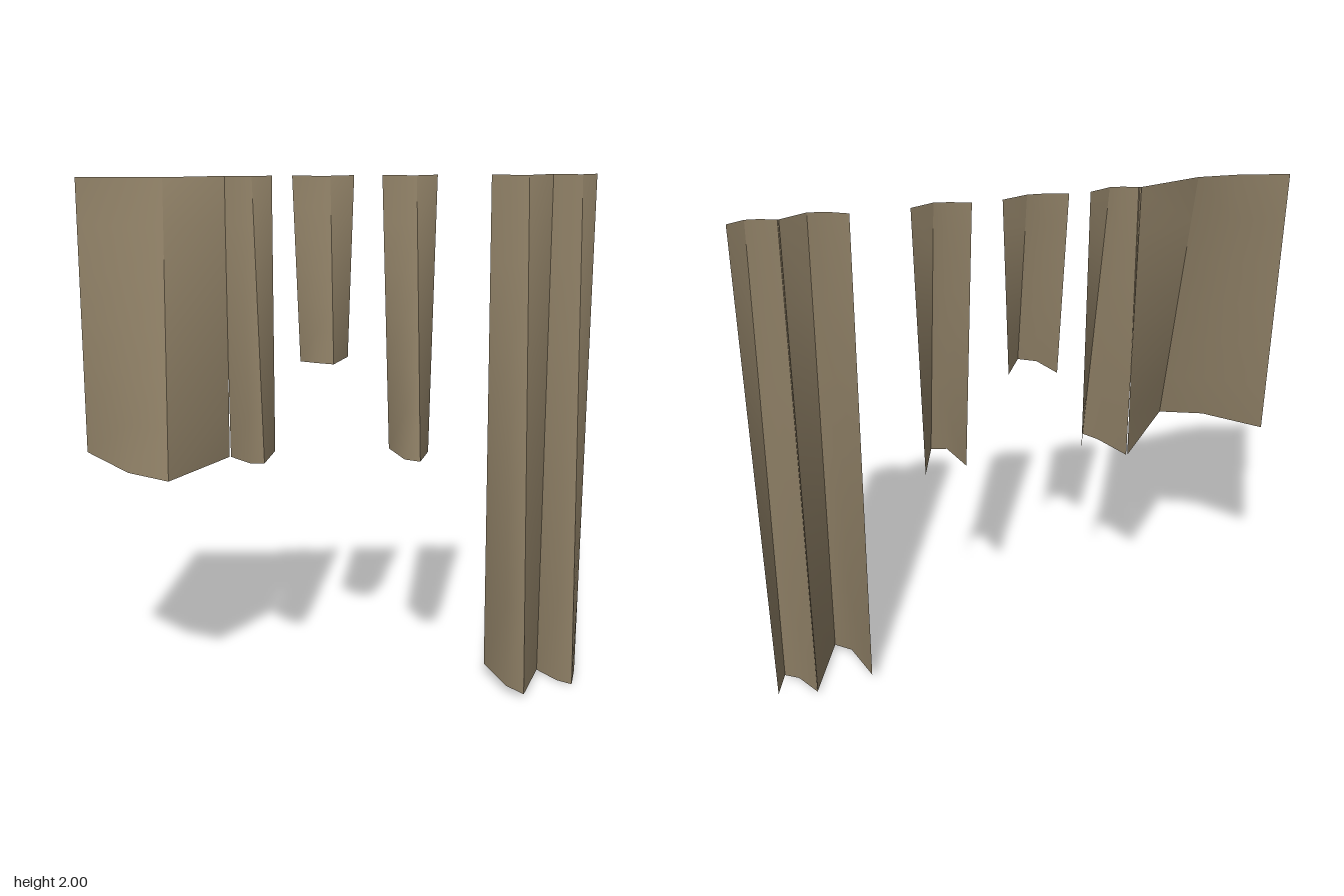
import * as THREE from 'three';

const TOP = 2;
const ROWS = 6;

// Each fold: four points left to right [left edge, shoulder, ridge, right edge]
// top points are [x, z]; bottom points are [x, y, z]
const FOLDS = [
  { name: 'wideFold',
    top: [[-0.97, -0.15], [-0.79, -0.115], [-0.65, -0.105], [-0.42, -0.15]],
    bottom: [[-0.965, 0.965, -0.13], [-0.80, 0.935, 0.07], [-0.65, 0.92, 0.147], [-0.425, 0.93, -0.15]] },
  { name: 'wideFoldSideStrip',
    top: [[-0.43, -0.15], [-0.37, -0.13], [-0.325, -0.125], [-0.25, -0.15]],
    bottom: [[-0.42, 0.93, -0.15], [-0.345, 0.935, -0.025], [-0.295, 0.945, 0.012], [-0.25, 0.955, -0.13]] },
  { name: 'shortFold',
    top: [[-0.175, -0.15], [-0.10, -0.13], [-0.035, -0.125], [0.055, -0.15]],
    bottom: [[-0.15, 1.305, -0.13], [-0.095, 1.315, -0.045], [-0.032, 1.315, -0.013], [0.03, 1.32, -0.13]] },
  { name: 'middleFold',
    top: [[0.16, -0.15], [0.235, -0.13], [0.285, -0.122], [0.367, -0.15]],
    bottom: [[0.19, 0.957, -0.13], [0.235, 0.95, 0.015], [0.292, 0.945, 0.033], [0.343, 0.94, -0.13]] },
  { name: 'longFold',
    top: [[0.57, -0.15], [0.64, -0.12], [0.705, -0.11], [0.805, -0.15]],
    bottom: [[0.585, 0.045, -0.14], [0.64, 0.03, 0.05], [0.70, 0.018, 0.112], [0.805, 0.008, -0.15]] },
  { name: 'longFoldSideStrip',
    top: [[0.80, -0.15], [0.86, -0.13], [0.91, -0.125], [0.97, -0.15]],
    bottom: [[0.803, 0.008, -0.15], [0.865, 0.004, -0.045], [0.918, 0, -0.01], [0.955, 0.01, -0.13]] },
];

// Ruled sheet hanging between a top edge and a bottom edge
function hangingSheet(top, bottom) {
  const pos = [], index = [], n = top.length;
  for (let r = 0; r <= ROWS; r++) {
    for (let c = 0; c < n; c++) {
      const a = new THREE.Vector3(top[c][0], TOP, top[c][1]);
      pos.push(...a.lerp(new THREE.Vector3(...bottom[c]), r / ROWS).toArray());
      if (r < ROWS && c < n - 1) {
        const i = r * n + c;
        index.push(i, i + n, i + 1, i + 1, i + n, i + n + 1);
      }
    }
  }
  const geo = new THREE.BufferGeometry();
  geo.setAttribute('position', new THREE.Float32BufferAttribute(pos, 3));
  geo.setIndex(index);
  geo.computeVertexNormals();
  return geo;
}

export function createModel() {
  const model = new THREE.Group();
  model.name = 'hangingFolds';
  const cloth = new THREE.MeshStandardMaterial({ color: 0x8f8066, side: THREE.DoubleSide });
  cloth.name = 'dullTan';

  for (const { name, top, bottom } of FOLDS) {
    const fold = new THREE.Group();
    fold.name = name;
    // rounded left side and flat right side meet at a sharp ridge
    for (const [side, from, to] of [['leftSide', 0, 3], ['rightSide', 2, 4]]) {
      const mesh = new THREE.Mesh(hangingSheet(top.slice(from, to), bottom.slice(from, to)), cloth);
      mesh.name = side;
      fold.add(mesh);
    }
    model.add(fold);
  }
  return model;
}
